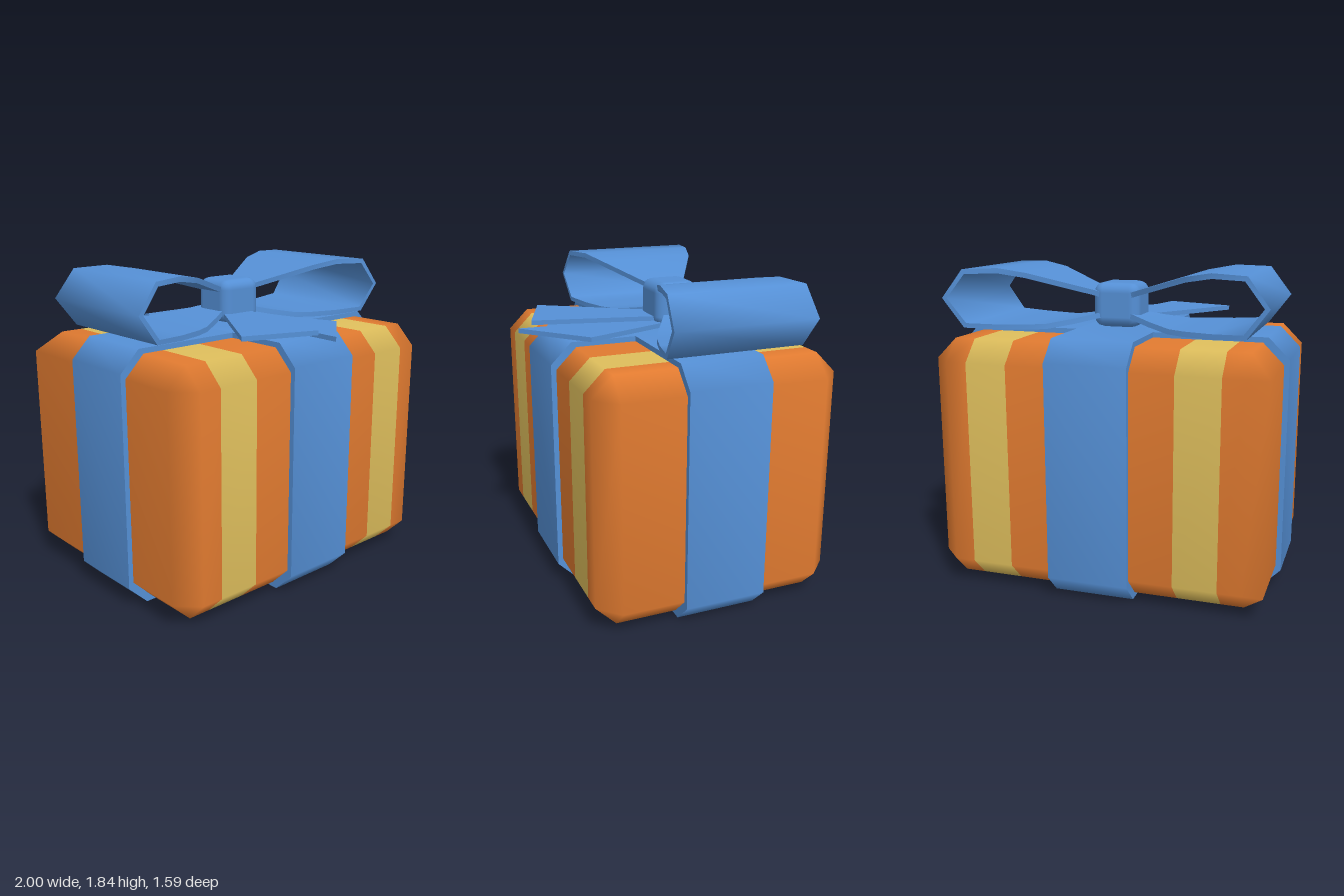
import * as THREE from 'three';
import { mergeGeometries, mergeVertices } from 'three/addons/utils/BufferGeometryUtils.js';
import { RoundedBoxGeometry } from 'three/addons/geometries/RoundedBoxGeometry.js';

const paint = (name, color) => Object.assign(new THREE.MeshStandardMaterial({ color }), { name });

function indexed(points, index) {
  const g = new THREE.BufferGeometry();
  g.setAttribute('position', new THREE.Float32BufferAttribute(points.flat(), 3));
  g.setIndex(index);
  return g;
}

// Smooth surface between two rows of points
function strip(P, Q, closed) {
  const n = P.length, index = [];
  for (let i = 0; i < (closed ? n : n - 1); i++) {
    const k = (i + 1) % n;
    index.push(i, k, n + k, i, n + k, n + i);
  }
  const g = indexed([...P, ...Q], index);
  g.computeVertexNormals();
  return g;
}

// Flat band with thickness: counter-clockwise profiles in xy, z range per point
function band(outer, inner, z0, z1, closed) {
  const at = (profile, z) => profile.map(([x, y], i) => [x, y, z[i]]);
  const o0 = at(outer, z0), o1 = at(outer, z1), i0 = at(inner, z0), i1 = at(inner, z1);
  return mergeGeometries([
    strip(o0, o1, closed), strip(o1, i1, closed), strip(i1, i0, closed), strip(i0, o0, closed),
  ]);
}

// Rectangle with cut corners, counter-clockwise
const octagon = (x0, x1, y0, y1, c) => [
  [x0 + c, y0], [x1 - c, y0], [x1, y0 + c], [x1, y1 - c],
  [x1 - c, y1], [x0 + c, y1], [x0, y1 - c], [x0, y0 + c],
];

// Chamfered box body, sliced along x so the stripes are clean face groups
function boxGeometry() {
  const c = 0.12, y0 = 0.03, y1 = 1.45, zb = -0.77, zf = 0.65;
  const stations = [-0.97, -0.85, -0.72, -0.47, 0.49, 0.73, 0.85, 0.97];
  const ya = y0 + c, yb = y1 - c, za = zb + c, zc = zf - c;
  const full = [[y1, zc], [y1, za], [yb, zb], [ya, zb], [y0, za], [y0, zc], [ya, zf], [yb, zf]];
  const end = (back) => [[yb, zc], [yb, back], [yb, back], [ya, back], [ya, back], [ya, zc], [ya, zc], [yb, zc]];
  const points = stations.flatMap((x, i) => {
    // one back edge is left square
    const ring = i === 0 ? end(zb) : i === 7 ? end(za) : full;
    return ring.map(([y, z]) => [x, y, z]);
  });
  const index = [], groups = [];
  for (let i = 0; i < 7; i++) {
    groups.push([index.length, 48, i === 2 || i === 4 ? 1 : 0]);
    for (let j = 0; j < 8; j++) {
      const k = (j + 1) % 8, a = i * 8 + j, d = i * 8 + k;
      index.push(a, a + 8, d + 8, a, d + 8, d);
    }
  }
  const capStart = index.length;
  for (let j = 1; j < 7; j++) index.push(0, j, j + 1, 56, 57 + j, 56 + j);
  groups.push([capStart, index.length - capStart, 0]);
  const g = mergeVertices(indexed(points, index));
  g.clearGroups();
  groups.forEach((r) => g.addGroup(...r));
  g.computeVertexNormals();
  return g;
}

// One bow loop pointing to +x: [x, y, half width]
function bowLoopGeometry() {
  const path = [
    [0.07, 1.55, 0.09], [0.22, 1.515, 0.18], [0.36, 1.49, 0.26], [0.46, 1.487, 0.305],
    [0.62, 1.487, 0.355], [0.82, 1.497, 0.4], [0.945, 1.665, 0.415], [0.82, 1.83, 0.4],
    [0.62, 1.838, 0.355], [0.46, 1.81, 0.305], [0.12, 1.705, 0.11], [0.06, 1.685, 0.09],
  ];
  const inner = path.map(([x, y], i) => {
    const a = path[Math.max(i - 1, 0)], b = path[Math.min(i + 1, path.length - 1)];
    const dx = b[0] - a[0], dy = b[1] - a[1], s = 0.03 / Math.hypot(dx, dy);
    return [x - dy * s, y + dx * s];
  });
  return band(path, inner, path.map((p) => -p[2]), path.map((p) => p[2]), false);
}

// Flat tail cut from an outline in x, z
function tailGeometry(outline, y) {
  const shape = new THREE.Shape(outline.map(([x, z]) => new THREE.Vector2(x, -z)));
  const g = new THREE.ExtrudeGeometry(shape, { depth: 0.027, bevelEnabled: false });
  return g.rotateX(-Math.PI / 2).translate(0, y, 0);
}

export function createModel() {
  const group = new THREE.Group();
  group.name = 'giftBox';
  const orange = paint('orangePaper', 0xe07a30);
  const yellow = paint('yellowStripe', 0xdebe5c);
  const blue = paint('blueRibbon', 0x5590d6);
  const add = (name, geometry, material = blue) => {
    const mesh = new THREE.Mesh(geometry, material);
    mesh.name = name;
    group.add(mesh);
    return mesh;
  };

  add('box', boxGeometry(), [orange, yellow]);

  // Ribbons wrapped around the box
  const eight = (v) => Array(8).fill(v);
  add('sideRibbon', band(octagon(-1, 1, 0, 1.48, 0.12), octagon(-0.97, 0.97, 0.03, 1.45, 0.12),
    eight(-0.3), eight(0.175), true));
  add('frontRibbon', band(octagon(-0.8, 0.68, 0, 1.48, 0.12), octagon(-0.77, 0.65, 0.03, 1.45, 0.12),
    eight(-0.25), eight(0.22), true).rotateY(-Math.PI / 2));

  // Bow
  const loop = bowLoopGeometry();
  [['leftBowLoop', 0], ['rightBowLoop', Math.PI]].forEach(([name, turn]) => {
    const mesh = add(name, loop);
    mesh.position.set(0.02, 0, -0.165);
    mesh.rotation.y = turn;
  });
  add('knot', new RoundedBoxGeometry(0.28, 0.26, 0.27, 2, 0.06)).position.set(0.02, 1.62, -0.135);
  add('rightTail', tailGeometry([[-0.04, -0.13], [-0.49, 0.55], [-0.065, 0.7], [0.12, -0.13]], 1.522));
  add('leftTail', tailGeometry([[0.01, -0.13], [-0.02, 0.79], [0.34, 0.47], [0.12, -0.13]], 1.493));

  return group;
}
